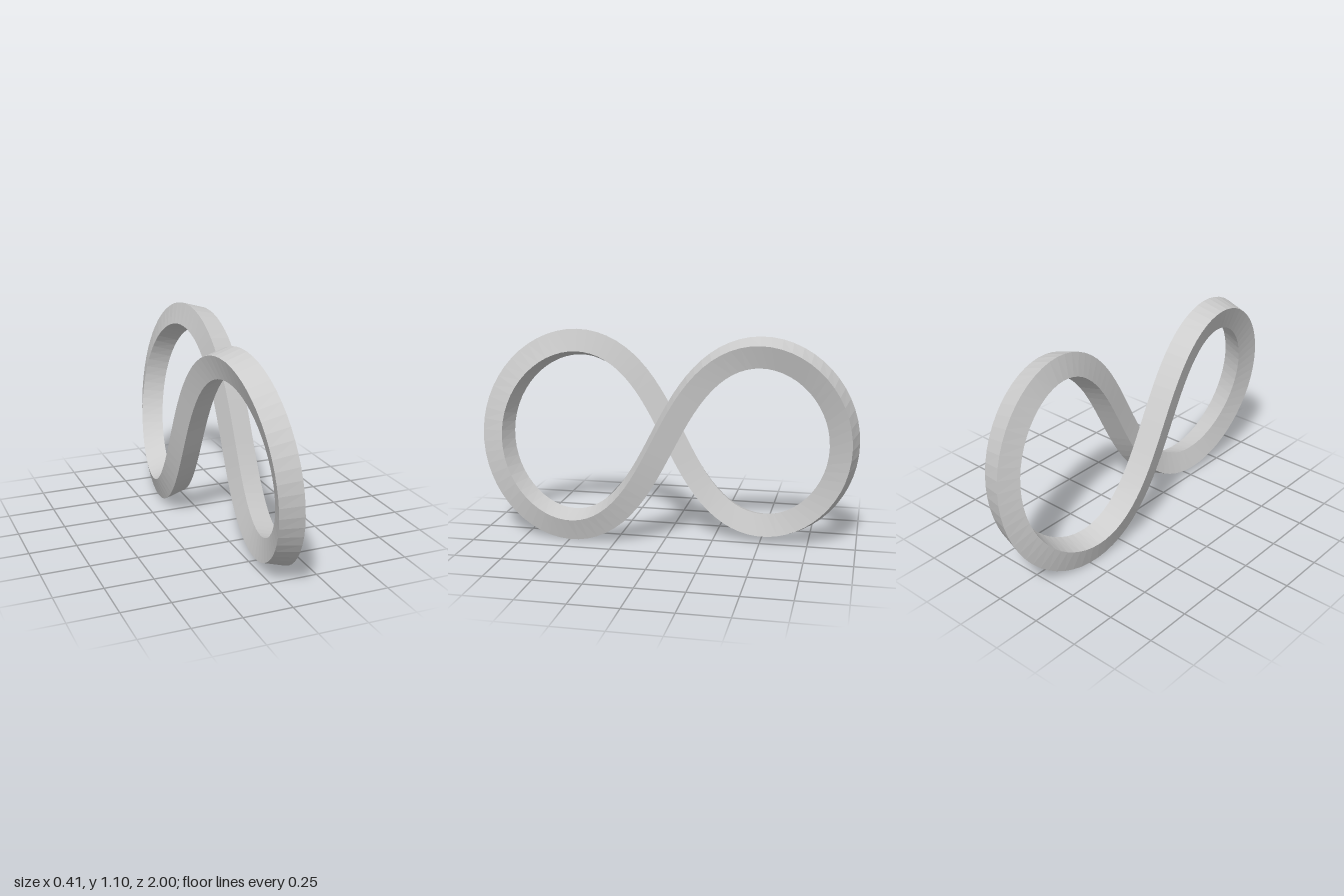
import * as THREE from 'three';

const SEGMENTS = 112;
const HALF = 0.06;                          // half side of the square section
const TILT = THREE.MathUtils.degToRad(16);  // constant lean of the section toward +x

// Centre line: a figure eight in the y-z plane whose strands part in x
class FigureEight extends THREE.Curve {
  getPoint(u, target = new THREE.Vector3()) {
    const t = u * Math.PI * 2;
    return target.set(
      0.13 * Math.cos(t),
      0.5525 + 0.478 * Math.sin(2 * t),
      -(0.8165 * Math.sin(t) - 0.1095 * Math.sin(3 * t))
    );
  }
}

// Four corners of the leaning square section at parameter u
function section(curve, u) {
  const p = curve.getPoint(u);
  const d = 1e-4;
  const tangent = curve.getPoint(u + d).sub(curve.getPoint(u - d)).normalize();
  const normal = new THREE.Vector3(0, -tangent.z, tangent.y).normalize()
    .multiplyScalar(Math.cos(TILT));
  normal.x = Math.sin(TILT);
  const side = new THREE.Vector3().crossVectors(tangent, normal).normalize();
  normal.crossVectors(side, tangent);
  return [[1, -1], [1, 1], [-1, 1], [-1, -1]].map(([n, s]) =>
    p.clone().addScaledVector(normal, n * HALF).addScaledVector(side, s * HALF));
}

// Closed sweep of the section, one flat quad per side and step
function sweep(curve) {
  const positions = [];
  for (let i = 0; i < SEGMENTS; i++) {
    const a = section(curve, i / SEGMENTS);
    const b = section(curve, ((i + 1) % SEGMENTS) / SEGMENTS);
    for (let j = 0; j < 4; j++) {
      const k = (j + 1) % 4;
      for (const v of [a[j], a[k], b[k], a[j], b[k], b[j]]) positions.push(v.x, v.y, v.z);
    }
  }
  const geometry = new THREE.BufferGeometry();
  geometry.setAttribute('position', new THREE.Float32BufferAttribute(positions, 3));
  geometry.computeVertexNormals();
  return geometry;
}

export function createModel() {
  const group = new THREE.Group();
  group.name = 'figureEightLoop';
  const material = new THREE.MeshStandardMaterial({ color: 0xcccccc, flatShading: true });
  const band = new THREE.Mesh(sweep(new FigureEight()), material);
  band.name = 'twistedBand';
  group.add(band);
  return group;
}
